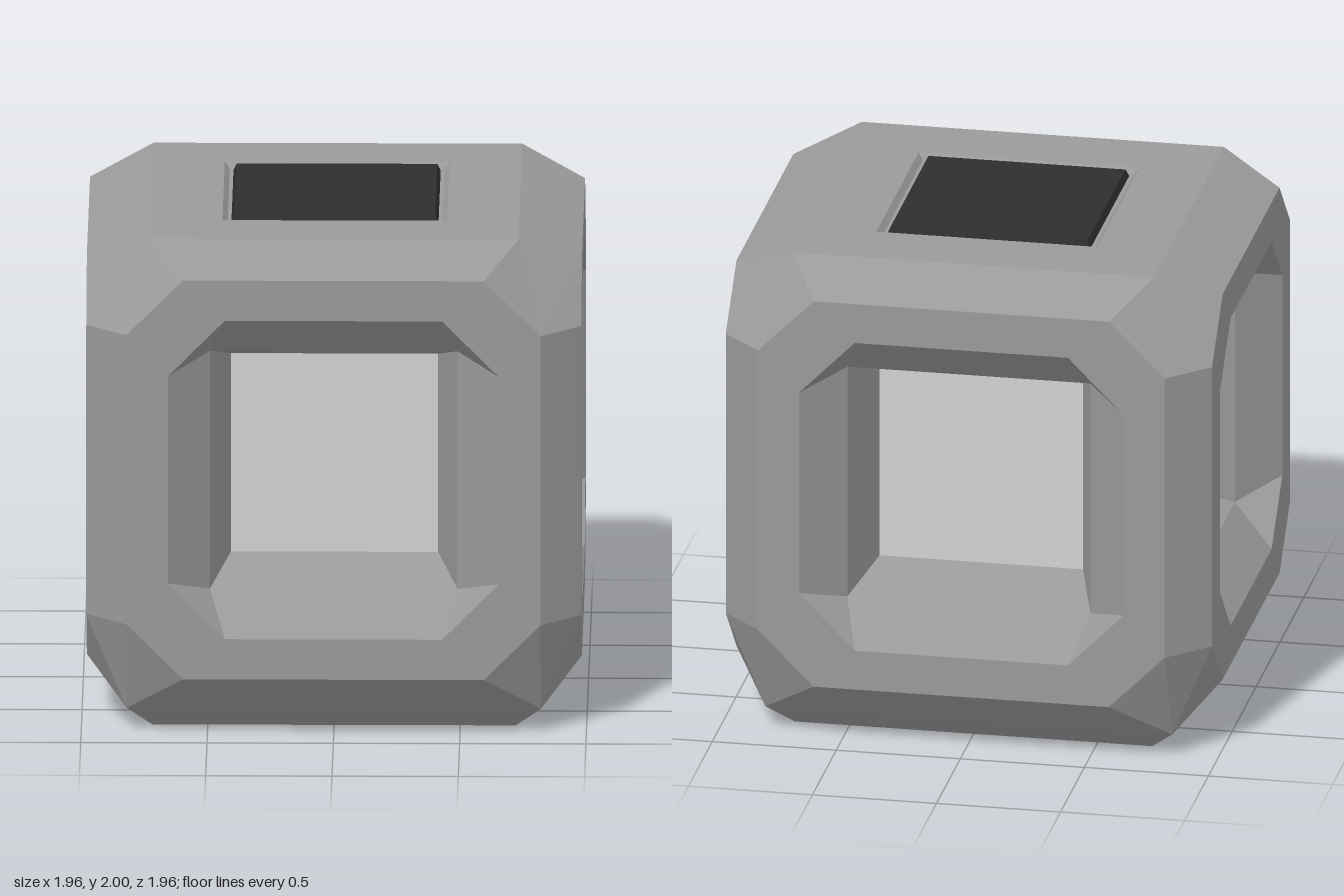
import * as THREE from 'three';

const bodyMat = new THREE.MeshStandardMaterial({ color: 0x9a9a9a });
bodyMat.name = 'body grey';
const panelMat = new THREE.MeshStandardMaterial({ color: 0xd2d2d2 });
panelMat.name = 'panel light grey';
const darkMat = new THREE.MeshStandardMaterial({ color: 0x2e2e2e });
darkMat.name = 'cap dark grey';

// Flat-shaded geometry from convex polygons, each fanned from its first corner
function facets(polygons) {
  const pos = [];
  for (const p of polygons)
    for (let i = 1; i < p.length - 1; i++) pos.push(...p[0], ...p[i], ...p[i + 1]);
  const g = new THREE.BufferGeometry();
  g.setAttribute('position', new THREE.Float32BufferAttribute(pos, 3));
  g.computeVertexNormals();
  return g;
}

// Octagon (square with cut corners), counter-clockwise from lower right
const octagon = (w, c, y0, y1, cut, z) => [
  [w, y0 + cut, z], [w, y1 - cut, z], [c, y1, z], [-c, y1, z],
  [-w, y1 - cut, z], [-w, y0 + cut, z], [-c, y0, z], [c, y0, z],
];
const square = (w, y0, y1, z) => [[w, y0, z], [w, y1, z], [-w, y1, z], [-w, y0, z]];

// One quarter of a sloped square band from (outer, y) to (inner, y)
const band = (a, ya, b, yb) => [[-a, ya, a], [a, ya, a], [b, yb, b], [-b, yb, b]];

export function createModel() {
  const model = new THREE.Group();
  model.name = 'windowedCube';
  const TOP = 1.994;

  const outer = octagon(0.82, 0.595, 0.255, 1.89, 0.225, 0.98);
  const opening = octagon(0.655, 0.43, 0.42, 1.725, 0.228, 0.98);
  const throat = square(0.49, 0.585, 1.56, 0.82);
  const pane = square(0.41, 0.667, 1.48, 0.56);

  // Face frame around the window
  const frame = outer.map((p, i) => {
    const j = (i + 1) % 8;
    return [p, outer[j], opening[j], opening[i]];
  });

  // Bevelled window reveal: octagon to square, then square to pane
  const reveal = [];
  for (let k = 0; k < 4; k++) {
    const n = (k + 1) % 4;
    reveal.push([opening[2 * k], opening[2 * k + 1], throat[n], throat[k]]);
    reveal.push([opening[2 * k + 1], opening[(2 * k + 2) % 8], throat[n]]);
    reveal.push([throat[k], throat[n], pane[n], pane[k]]);
  }

  // Chamfers along the edges and the corner facets
  const topCorner = [0.73, TOP, 0.73], lowCorner = [0.82, 0.095, 0.82];
  const chamfers = [
    [outer[0], [0.98, 0.48, 0.82], [0.98, 1.665, 0.82], outer[1]],
    [outer[1], [0.98, 1.665, 0.82], [0.98, 1.89, 0.595], topCorner, outer[2]],
    [lowCorner, [0.98, 0.255, 0.595], [0.98, 0.48, 0.82], outer[0], outer[7]],
    [outer[3], outer[2], topCorner, [-0.73, TOP, 0.73]],
    [[-0.82, 0.095, 0.82], lowCorner, outer[7], outer[6]],
    band(0.72, 0, 0.82, 0.095),
  ];

  // Top deck with the groove around the cap
  const deck = [
    band(0.73, TOP, 0.445, TOP),
    band(0.445, TOP, 0.425, TOP - 0.025),
    band(0.425, TOP - 0.025, 0.41, TOP - 0.025),
  ];

  // Cap bevel and surface
  const cap = [
    band(0.41, TOP - 0.025, 0.397, 2),
    [[-0.397, 2, 0.397], [0.397, 2, 0.397], [0, 2, 0]],
  ];

  const base = [[[0.72, 0, 0.72], [-0.72, 0, 0.72], [0, 0, 0]]];

  const parts = [
    ['windowFrame', facets(frame), bodyMat],
    ['windowReveal', facets(reveal), bodyMat],
    ['edgeChamfers', facets(chamfers), bodyMat],
    ['topDeck', facets(deck), bodyMat],
    ['windowPanel', facets([pane]), panelMat],
    ['topCap', facets(cap), darkMat],
    ['base', facets(base), darkMat],
  ];

  // The same quarter repeats on all four sides
  ['front', 'left', 'back', 'right'].forEach((name, i) => {
    const side = new THREE.Group();
    side.name = name + 'Side';
    side.rotation.y = i * Math.PI / 2;
    for (const [part, geometry, material] of parts) {
      const mesh = new THREE.Mesh(geometry, material);
      mesh.name = part;
      side.add(mesh);
    }
    model.add(side);
  });
  return model;
}
